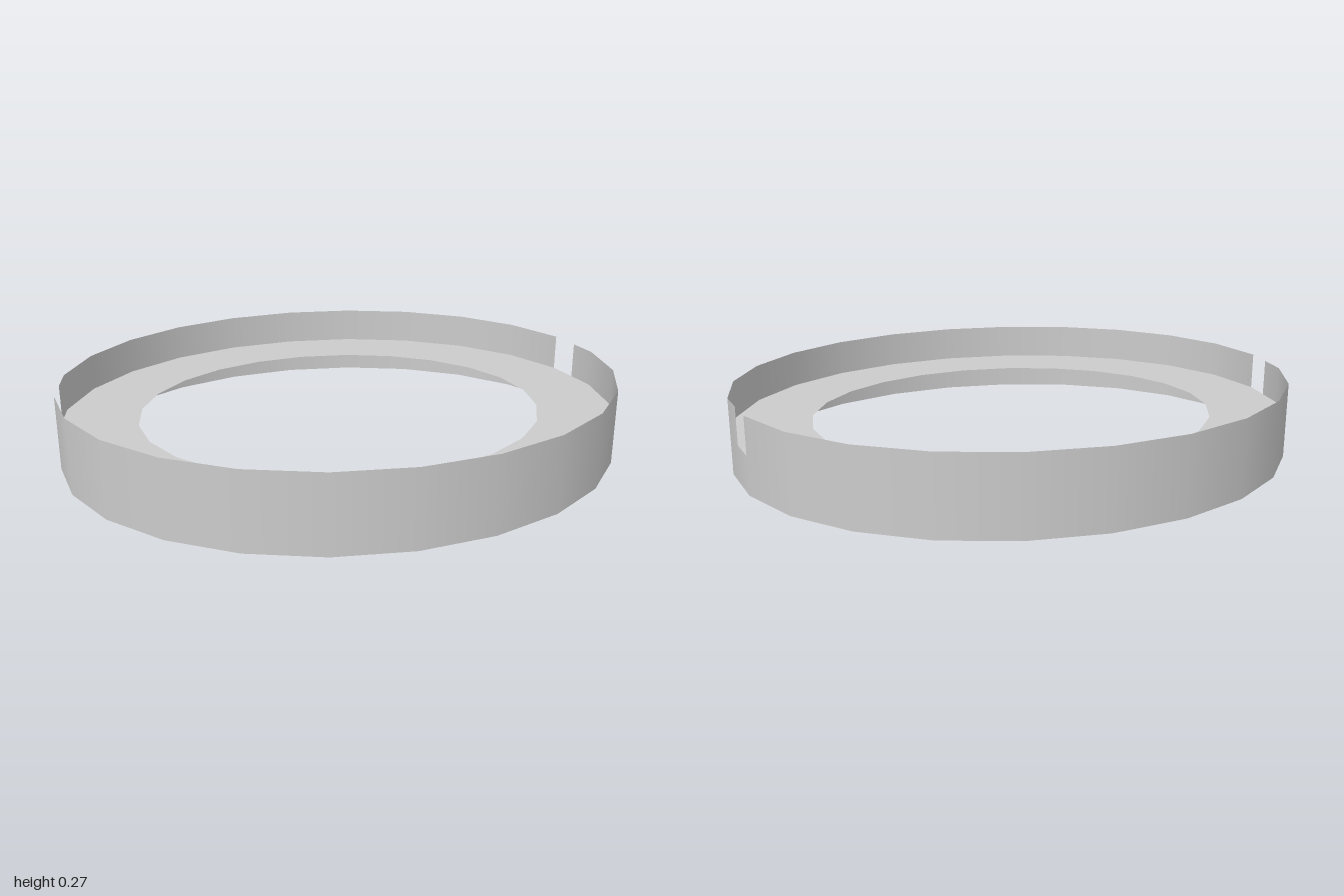
import * as THREE from 'three';

const SIDES = 24, DEPTH = 0.88, HOLE = 0.727;
const HEIGHT = 0.266, SHELF = 0.134;

// Point on the oval outline; fractional steps lie on the straight chord between corners
function outline(k) {
  const corner = (i) => {
    const a = (i / SIDES) * Math.PI * 2;
    return new THREE.Vector2(Math.cos(a), Math.sin(a) * DEPTH);
  };
  const i = Math.floor(k);
  return corner(i).lerp(corner(i + 1), k - i);
}

// Thin upright wall following the outline between two steps
function wallStrip(from, to, y0, y1) {
  const steps = [from];
  for (let k = Math.floor(from) + 1; k < to; k++) steps.push(k);
  steps.push(to);
  const position = [], normal = [], index = [];
  steps.forEach((k, i) => {
    const p = outline(k);
    const n = new THREE.Vector2(p.x, p.y / (DEPTH * DEPTH)).normalize();
    position.push(p.x, y0, p.y, p.x, y1, p.y);
    normal.push(n.x, 0, n.y, n.x, 0, n.y);
    if (i > 0) {
      const b = i * 2;
      index.push(b, b - 2, b - 1, b, b - 1, b + 1);
    }
  });
  const geometry = new THREE.BufferGeometry();
  geometry.setAttribute('position', new THREE.Float32BufferAttribute(position, 3));
  geometry.setAttribute('normal', new THREE.Float32BufferAttribute(normal, 3));
  geometry.setIndex(index);
  return geometry;
}

export function createModel() {
  const model = new THREE.Group();
  model.name = 'slottedOvalRing';
  const material = new THREE.MeshStandardMaterial({ color: 0xcccccc, side: THREE.DoubleSide });
  const add = (name, geometry) => {
    const mesh = new THREE.Mesh(geometry, material);
    mesh.name = name;
    model.add(mesh);
    return mesh;
  };

  // Unbroken lower wall
  add('lowerWall', wallStrip(0, SIDES, 0, SHELF));

  // Upper wall in two arcs, leaving a half-facet slot at each side
  add('upperWallFront', wallStrip(-0.48, 12, SHELF, HEIGHT));
  add('upperWallBack', wallStrip(12.48, 23, SHELF, HEIGHT));

  // Flat shelf halfway up, with an oval opening
  const shelf = new THREE.RingGeometry(HOLE, 1, SIDES, 1).rotateX(-Math.PI / 2);
  add('shelf', shelf.scale(1, 1, DEPTH)).position.y = SHELF;

  return model;
}
